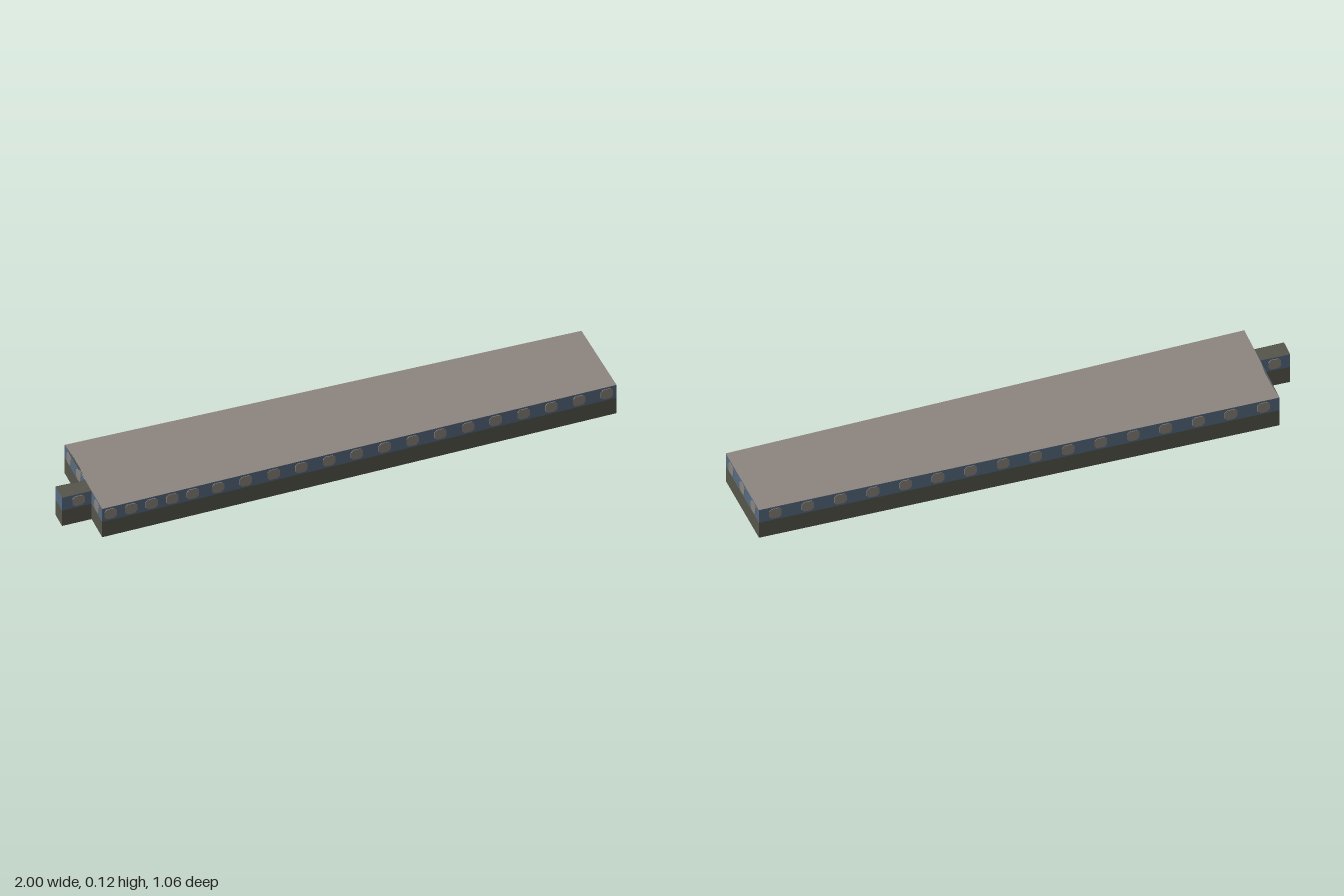
import * as THREE from 'three';

const BASE_TOP = 0.065, TOP = 0.12;

const mat = (name, color) => {
  const m = new THREE.MeshStandardMaterial({ color, side: THREE.DoubleSide });
  m.name = name;
  return m;
};

export function createModel() {
  const group = new THREE.Group();
  const olive = mat('olive base', 0x57564b);
  const blue = mat('slate blue cladding', 0x586b82);
  const taupe = mat('taupe roof', 0x8e857f);
  const tan = mat('window tan', 0x8a847c);

  const add = (name, geometry, material, parent = group) => {
    const mesh = new THREE.Mesh(geometry, material);
    mesh.name = name;
    parent.add(mesh);
    return mesh;
  };

  // flat horizontal sheet from [x, z] corners, facing up
  const sheet = (name, corners, y, material) => {
    const shape = new THREE.Shape(corners.map(([x, z]) => new THREE.Vector2(x, -z)));
    const g = new THREE.ShapeGeometry(shape);
    g.rotateX(-Math.PI / 2);
    g.translate(0, y, 0);
    return add(name, g, material);
  };

  // window plate with clipped corners, showing on both sides of the wall
  const w = 0.023, h = 0.02, c = 0.009;
  const pane = new THREE.Shape([
    [-w + c, -h], [w - c, -h], [w, -h + c], [w, h - c],
    [w - c, h], [-w + c, h], [-w, h - c], [-w, -h + c],
  ].map(([x, y]) => new THREE.Vector2(x, y)));
  const paneGeometry = new THREE.ExtrudeGeometry(pane, { depth: 0.005, bevelEnabled: false });
  paneGeometry.translate(0, 0, -0.0025);

  // thin two-band wall between [x, z] ends, windows at fractions of its length
  const wall = (name, [x0, z0], [x1, z1], windows) => {
    const g = new THREE.Group();
    g.name = name;
    const length = Math.hypot(x1 - x0, z1 - z0);
    g.position.set((x0 + x1) / 2, 0, (z0 + z1) / 2);
    g.rotation.y = -Math.atan2(z1 - z0, x1 - x0);
    add(name + 'Base', new THREE.PlaneGeometry(length, BASE_TOP), olive, g).position.y = BASE_TOP / 2;
    add(name + 'Band', new THREE.PlaneGeometry(length, TOP - BASE_TOP), blue, g).position.y = (TOP + BASE_TOP) / 2;
    for (const t of windows) {
      add(name + 'Window', paneGeometry, tan, g).position.set((t - 0.5) * length, 0.093, 0);
    }
    group.add(g);
  };
  const spaced = (n) => Array.from({ length: n }, (_, i) => (i + 0.5) / n);

  // main block corners
  const A = [-0.775, -0.53], B = [1, 0.205], C = [0.865, 0.525], D = [-0.945, -0.16];
  // front windows sit closer together near the annex end
  const frontWindows = [
    ...Array.from({ length: 5 }, (_, i) => 0.016 + i * 0.04),
    ...Array.from({ length: 15 }, (_, i) => 0.225 + i * 0.054),
  ];
  wall('frontWall', D, C, frontWindows);
  wall('leftEndWall', C, B, spaced(3));
  wall('backWall', B, A, spaced(16));
  wall('rightEndWall', A, D, [0.12, 0.38, 0.86]);

  // small annex on the right end
  const P1 = [-0.97, -0.37], P2 = [-1, -0.305], P3 = [-0.885, -0.26], P4 = [-0.865, -0.325];
  wall('annexFrontWall', P2, P3, [0.5]);
  wall('annexEndWall', P1, P2, []);
  wall('annexBackWall', P4, P1, [0.5]);

  // roofs: an olive strip runs along the right edge into the annex roof
  const notch = [[-0.802, -0.46], [-0.835, -0.385], [-0.862, -0.34]];
  sheet('mainRoof', [A, B, C, D, [-0.89, -0.28], ...[...notch].reverse()], TOP, taupe);
  sheet('edgeStrip', [A, ...notch, [-0.89, -0.28], P4], TOP - 0.001, olive);
  sheet('annexRoof', [P1, P2, P3, P4], TOP - 0.001, olive);

  return group;
}
